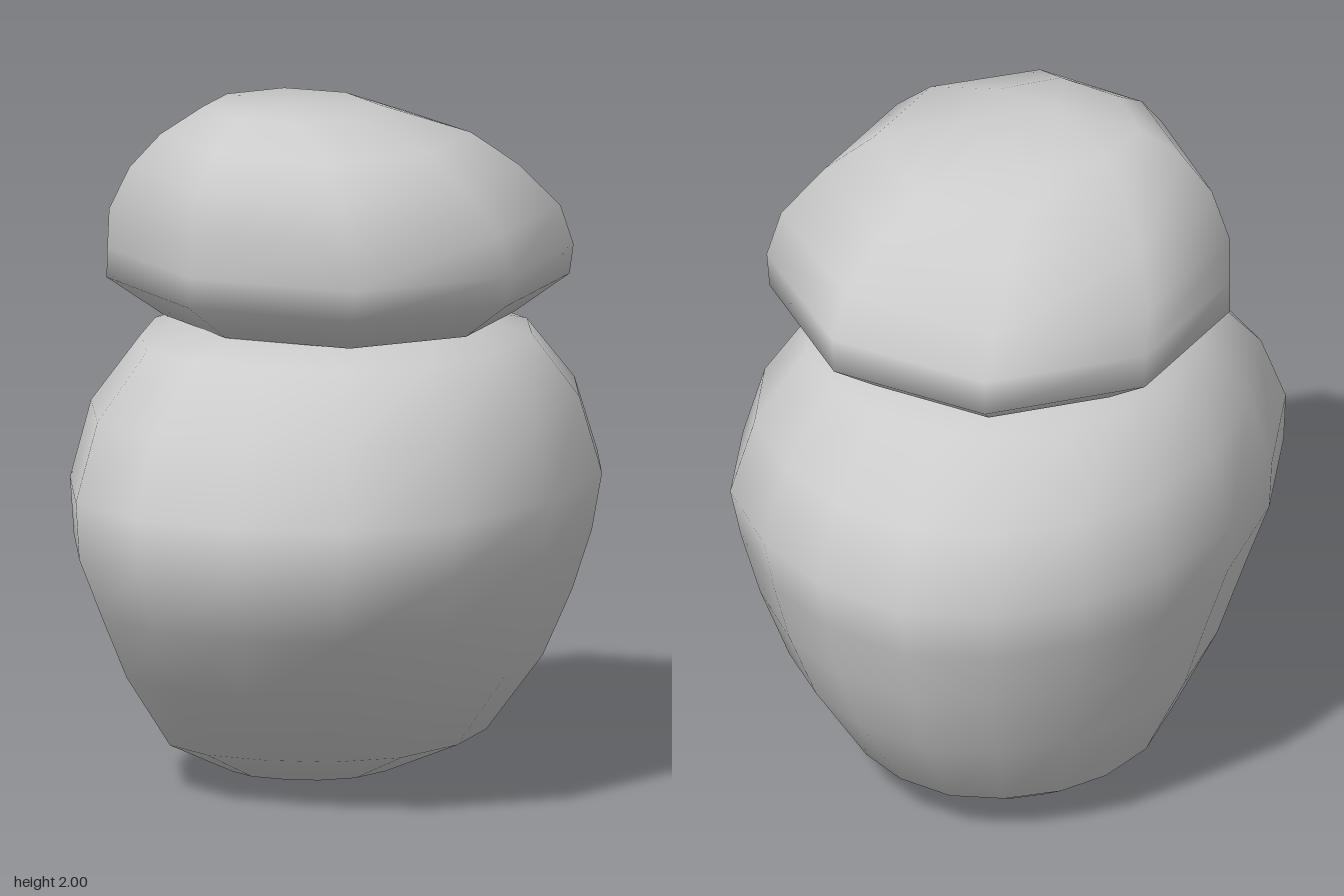
import * as THREE from 'three';

// Lofts a closed stone: one plan outline (counter-clockwise from above) is
// fitted to the extents [y, xMin, xMax, zMin, zMax] of every level.
function stone(name, outline, levels, bottom, top) {
  const xs = outline.map((p) => p[0]);
  const zs = outline.map((p) => p[1]);
  const [x0, x1] = [Math.min(...xs), Math.max(...xs)];
  const [z0, z1] = [Math.min(...zs), Math.max(...zs)];
  const n = outline.length;
  const positions = [];
  const index = [];

  for (const [y, xMin, xMax, zMin, zMax] of levels) {
    for (const [x, z] of outline) {
      positions.push(
        THREE.MathUtils.mapLinear(x, x0, x1, xMin, xMax),
        y,
        THREE.MathUtils.mapLinear(z, z0, z1, zMin, zMax)
      );
    }
  }
  const bottomCentre = levels.length * n;
  positions.push(...bottom, ...top);

  for (let i = 0; i < n; i++) {
    const j = (i + 1) % n;
    for (let k = 0; k < levels.length - 1; k++) {
      const a = k * n + i, b = k * n + j;
      index.push(a, b, b + n, a, b + n, a + n);
    }
    const last = (levels.length - 1) * n;
    index.push(bottomCentre, j, i);
    index.push(bottomCentre + 1, last + i, last + j);
  }

  const geometry = new THREE.BufferGeometry();
  geometry.setAttribute('position', new THREE.Float32BufferAttribute(positions, 3));
  geometry.setIndex(index);
  geometry.computeVertexNormals();
  const mesh = new THREE.Mesh(geometry, new THREE.MeshStandardMaterial({ color: 0xcccccc }));
  mesh.name = name;
  return mesh;
}

export function createModel() {
  const group = new THREE.Group();
  group.name = 'stackedStones';

  // Large lower stone, bulging towards its front corner
  group.add(stone(
    'lowerStone',
    [
      [-0.66, 0.6], [-0.45, 0.81], [-0.16, 0.89], [0.16, 0.88],
      [0.46, 0.71], [0.67, 0.34], [0.74, -0.08], [0.67, -0.41],
      [0.49, -0.65], [0.27, -0.82], [0, -0.9], [-0.25, -0.84],
      [-0.48, -0.68], [-0.64, -0.46], [-0.74, -0.15], [-0.74, 0.23],
    ],
    [
      [0.02, -0.33, 0.15, -0.4, 0.14],
      [0.13, -0.5, 0.4, -0.6, 0.41],
      [0.36, -0.61, 0.57, -0.74, 0.65],
      [0.56, -0.67, 0.66, -0.82, 0.81],
      [0.74, -0.73, 0.72, -0.865, 0.9],
      [0.9, -0.745, 0.745, -0.9, 0.885],
      [1.12, -0.69, 0.68, -0.8, 0.77],
      [1.31, -0.55, 0.55, -0.57, 0.6],
      [1.36, -0.36, 0.32, -0.36, 0.36],
    ],
    [-0.1, 0, -0.13],
    [0, 1.36, 0]
  ));

  // Smaller upper stone, sloping down to the back
  group.add(stone(
    'upperStone',
    [
      [-0.56, -0.37], [-0.66, 0.11], [-0.35, 0.51], [0.15, 0.63],
      [0.55, 0.33], [0.65, -0.17], [0.32, -0.57], [-0.17, -0.66],
    ],
    [
      [1.35, -0.5, 0.48, -0.5, 0.46],
      [1.46, -0.66, 0.635, -0.66, 0.62],
      [1.55, -0.655, 0.65, -0.635, 0.63],
      [1.67, -0.645, 0.62, -0.57, 0.635],
      [1.8, -0.58, 0.51, -0.44, 0.6],
      [1.9, -0.49, 0.38, -0.3, 0.51],
      [1.98, -0.37, 0.12, -0.14, 0.36],
    ],
    [0, 1.34, 0],
    [-0.12, 2, 0.16]
  ));

  return group;
}
